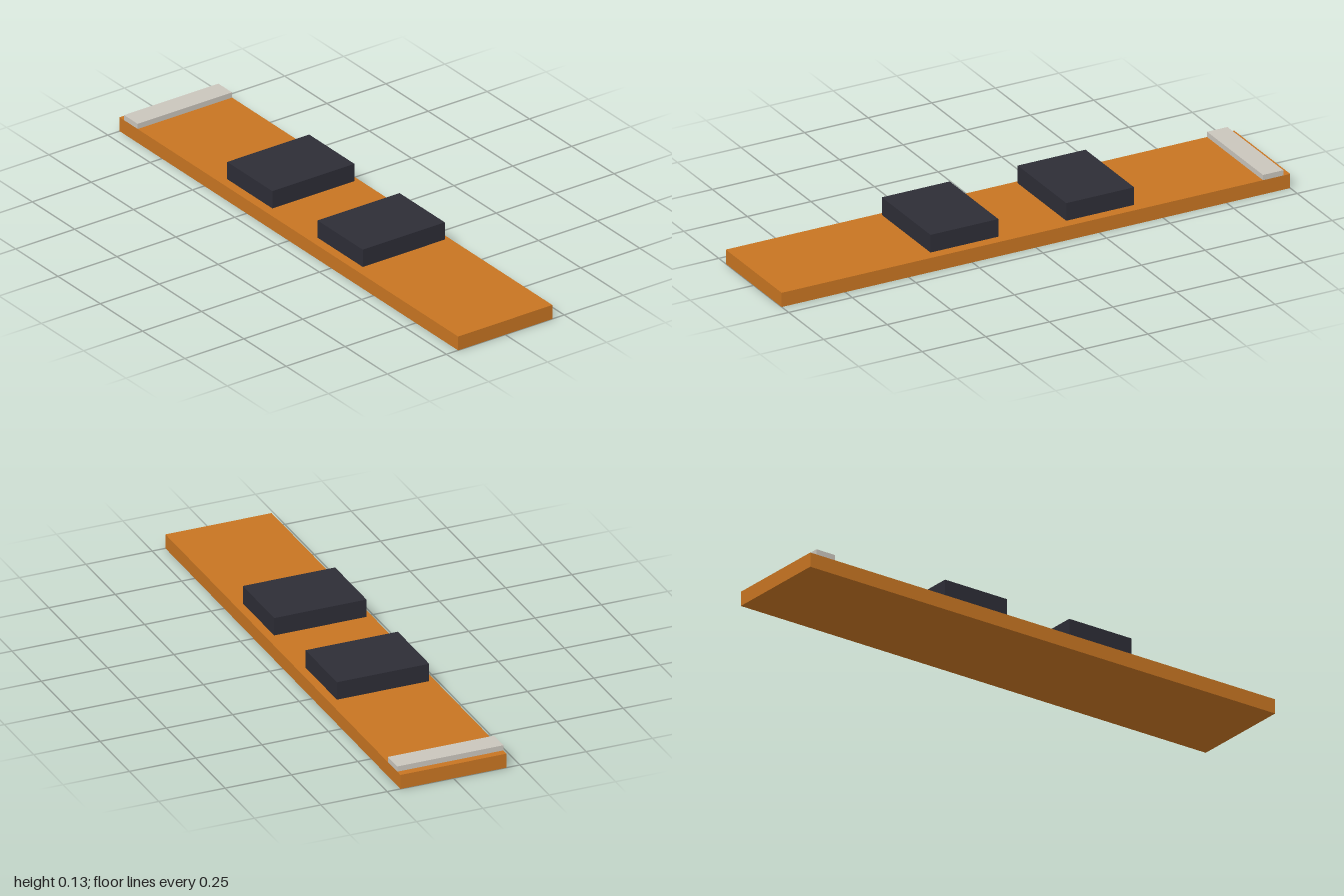
import * as THREE from 'three';

export function createModel() {
  const group = new THREE.Group();
  const orange = new THREE.MeshStandardMaterial({ name: 'orange', color: 0xc87522 });
  const charcoal = new THREE.MeshStandardMaterial({ name: 'charcoal', color: 0x2d2d36 });
  const paleGrey = new THREE.MeshStandardMaterial({ name: 'paleGrey', color: 0xcac5bc });

  // Box placed by its underside
  function box(name, material, width, height, depth, bottom, z) {
    const mesh = new THREE.Mesh(new THREE.BoxGeometry(width, height, depth), material);
    mesh.name = name;
    mesh.position.set(0, bottom + height / 2, z);
    group.add(mesh);
  }

  // Long flat board
  box('board', orange, 0.4, 0.054, 2, 0, 0);

  // Two pads held just above the board
  box('frontPad', charcoal, 0.348, 0.067, 0.267, 0.061, 0.267);
  box('rearPad', charcoal, 0.348, 0.067, 0.267, 0.061, -0.267);

  // Crossbar resting on the back end
  box('crossbar', paleGrey, 0.4, 0.02, 0.08, 0.054, -0.933);

  return group;
}
